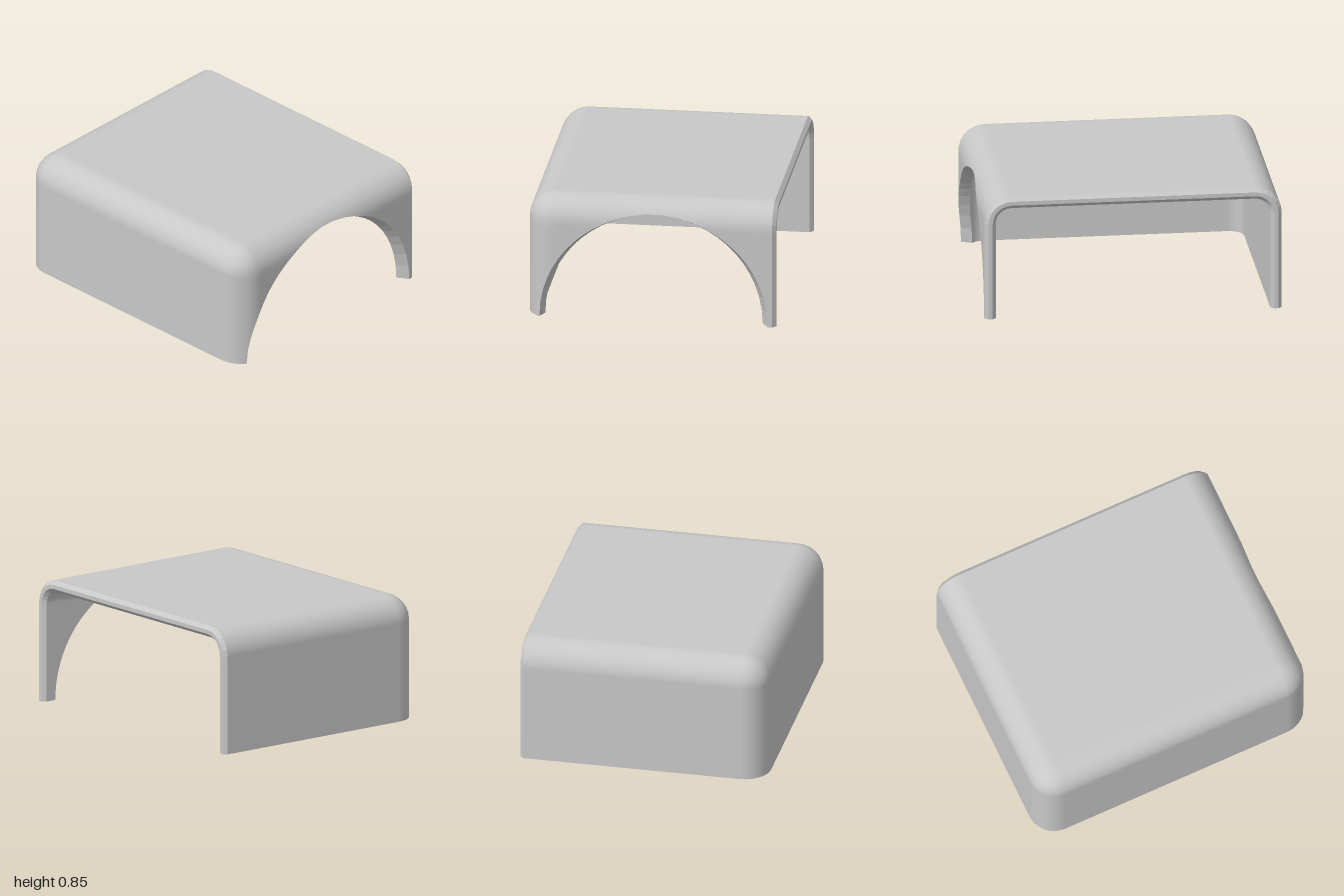
import * as THREE from 'three';

// Core box of the rounded shell, corner radius, wall thickness
const CX = 0.82, CY = 0.67, CZ = 0.66, R = 0.18, WALL = 0.077;
const BACK = -0.815, REAR = -0.84;
// Arch ellipses in the outer and inner skin: centre z, half width, height
const OUTER_ARCH = [-0.015, 0.772, 0.757], INNER_ARCH = [-0.008, 0.734, 0.733];

// A station is [core coordinate, share of the corner radius]
const bend = (c) => [0, 1, 2, 3].map((k) => [c, Math.tan((k * Math.PI) / 12)]);
const flat = (a, b, n) => Array.from({ length: n }, (_, i) => [a + ((b - a) * i) / n, 0]);
const last = (a) => a[a.length - 1];
const X = [...bend(CX).reverse().map(([c, e]) => [-c, -e]), ...bend(CX)];
const Y = [...flat(0, CY, 6), ...bend(CY)];
const Z = [...flat(BACK, CZ, 12), ...bend(CZ)];

// Point on the shell at a depth below the outer surface; h is its facing
function at(x, y, z, off) {
  const dir = new THREE.Vector3(x[1], y[1], z[1]).normalize();
  const p = new THREE.Vector3(x[0], y[0], z[0]).addScaledVector(dir, R - off);
  return { p, dir, h: dir.clone().multiplyScalar(off > 0 ? -1 : 1) };
}
const facing = (v, h) => ({ p: v.p, dir: v.dir, h });

// Skin over rows of points; each triangle is wound to agree with h
function skin(rows, sharp = false) {
  const pos = [], nor = [];
  const ab = new THREE.Vector3(), ac = new THREE.Vector3();
  const tri = (a, b, c) => {
    ab.subVectors(b.p, a.p);
    ac.subVectors(c.p, a.p);
    ab.cross(ac);
    if (ab.length() < 1e-10) return;
    const sum = a.h.clone().add(b.h).add(c.h);
    for (const v of ab.dot(sum) < 0 ? [a, c, b] : [a, b, c]) {
      pos.push(...v.p.toArray());
      nor.push(...v.h.toArray());
    }
  };
  for (let i = 0; i + 1 < rows.length; i++) {
    for (let j = 0; j + 1 < rows[i].length; j++) {
      tri(rows[i][j], rows[i + 1][j], rows[i + 1][j + 1]);
      tri(rows[i][j], rows[i + 1][j + 1], rows[i][j + 1]);
    }
  }
  const g = new THREE.BufferGeometry();
  g.setAttribute('position', new THREE.Float32BufferAttribute(pos, 3));
  g.setAttribute('normal', new THREE.Float32BufferAttribute(nor, 3));
  if (sharp) g.computeVertexNormals();
  return g;
}

// Side wall with the arch: rows run from the arch edge out to the wall border
function archWall(off, [z0, rz, ry]) {
  const rho = R - off;
  const border = [
    ...Y.map((y) => [y, last(Z)]),
    ...[...Z].reverse().slice(1).map((z) => [last(Y), z]),
    ...[...Y].reverse().slice(1).map((y) => [y, Z[0]]),
  ];
  const split = (v, c) => (v > c ? [c, (v - c) / rho] : [v, 0]);
  const N = 8;
  return border.map(([ys, zs]) => {
    const by = ys[0] + ys[1] * rho, bz = zs[0] + zs[1] * rho;
    const t = Math.atan2(by / ry, (bz - z0) / rz);
    const y = ry * Math.sin(t), z = z0 + rz * Math.cos(t);
    const dy = Math.max(0, y - CY), dz = Math.max(0, z - CZ);
    const k = rho / Math.sqrt(rho * rho - dy * dy - dz * dz);
    const ay = Math.min(y, CY) + dy * k, az = Math.min(z, CZ) + dz * k;
    return Array.from({ length: N + 1 }, (_, i) =>
      at([CX, 1], split(ay + ((by - ay) * i) / N, CY), split(az + ((bz - az) * i) / N, CZ), off));
  });
}

export function createModel() {
  const group = new THREE.Group();
  group.name = 'openCover';
  const grey = new THREE.MeshStandardMaterial({ color: 0xc8c8c8 });
  grey.name = 'grey';
  const add = (name, geometry) => {
    const mesh = new THREE.Mesh(geometry, grey);
    mesh.name = name;
    group.add(mesh);
  };

  // Outer and inner skins
  const walls = [];
  for (const [side, off, arch] of [['outer', 0, OUTER_ARCH], ['inner', WALL, INNER_ARCH]]) {
    add(side + 'Top', skin(X.map((x) => Z.map((z) => at(x, [CY, 1], z, off)))));
    add(side + 'Front', skin(X.map((x) => Y.map((y) => at(x, y, [CZ, 1], off)))));
    add(side + 'RightWall', skin(Z.map((z) => Y.map((y) => at([-CX, -1], y, z, off)))));
    const wall = archWall(off, arch);
    walls.push(wall);
    add(side + 'ArchWall', skin(wall));
  }

  // Edge of the arch, facing its centre
  add('archEdge', skin(walls.map((w) => w.map((row) => {
    const v = row[0];
    return facing(v, new THREE.Vector3(0, -v.p.y, -v.p.z).normalize());
  })), true));

  // Bottom edges of the walls and of the two arch feet
  const down = new THREE.Vector3(0, -1, 0);
  const outline = [...Z.map((z) => [[-CX, -1], z]), ...X.slice(1).map((x) => [x, last(Z)])];
  add('bottomEdge', skin([0, WALL].map((off) =>
    outline.map(([x, z]) => facing(at(x, [0, 0], z, off), down))), true));
  add('frontFoot', skin(walls.map((w) => w[0].map((v) => facing(v, down))), true));
  add('backFoot', skin(walls.map((w) => last(w).map((v) => facing(v, down))), true));

  // Bevelled rim around the open back
  const opening = [
    ...Y.map((y) => [X[0], y]),
    ...X.slice(1).map((x) => [x, last(Y)]),
    ...[...Y].reverse().slice(1).map((y) => [last(X), y]),
  ];
  const bevel = [[0, BACK, 1], [0.025, REAR, 0], [WALL - 0.025, REAR, 0], [WALL, BACK, -1]];
  const rim = bevel.map(([off, z, s]) => opening.map(([x, y]) => {
    const v = at(x, y, [z, 0], off);
    return facing(v, new THREE.Vector3(0, 0, -1).addScaledVector(v.dir, s));
  }));
  add('backRim', skin(rim, true));
  for (const [name, end] of [['rightRimFoot', 0], ['leftRimFoot', opening.length - 1]]) {
    const [a, b, c, d] = rim.map((row) => facing(row[end], down));
    add(name, skin([[a, b], [d, c]], true));
  }
  return group;
}
